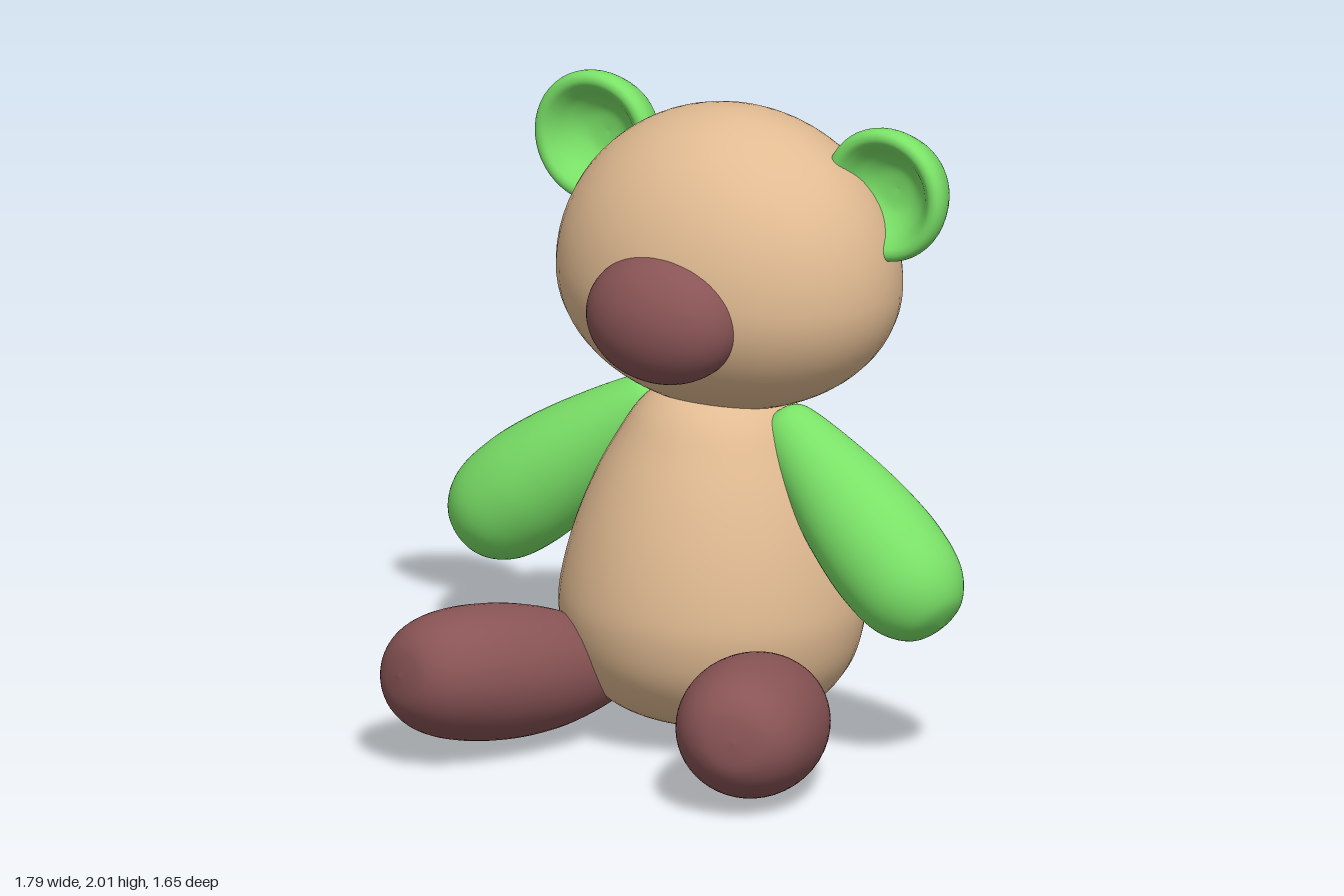
import * as THREE from 'three';

const mat = (name, color) => {
  const m = new THREE.MeshStandardMaterial({ color });
  m.name = name;
  return m;
};

export function createModel() {
  const tan = mat('tan fur', 0xe1bb92);
  const green = mat('green fur', 0x7ae167);
  const brown = mat('brown fur', 0x895455);

  const model = new THREE.Group();
  model.name = 'teddyBear';
  // The whole bear sits turned to its right and leans a little to its left
  const bear = new THREE.Group();
  bear.name = 'sittingBear';
  bear.rotation.order = 'YXZ';
  bear.rotation.set(0, -0.6, -0.038);
  bear.position.set(0.125, 0, -0.29);
  model.add(bear);

  const add = (name, geometry, material, x = 0, y = 0, z = 0) => {
    const mesh = new THREE.Mesh(geometry, material);
    mesh.name = name;
    mesh.position.set(x, y, z);
    bear.add(mesh);
    return mesh;
  };

  // Smooth solid of revolution through [radius, height] points
  const turned = (profile) => {
    const curve = new THREE.SplineCurve(profile.map(([r, h]) => new THREE.Vector2(r, h)));
    const pts = curve.getPoints(56);
    pts.forEach((p) => { p.x = Math.max(p.x, 0); });
    return new THREE.LatheGeometry(pts, 48);
  };

  // Limb turned around the line from root to tip
  const limb = (name, profile, material, root, tip, width) => {
    const a = new THREE.Vector3(...root);
    const dir = new THREE.Vector3(...tip).sub(a);
    const length = dir.length();
    const mesh = add(name, turned(profile.map(([r, t]) => [r, t * length])), material, ...root);
    mesh.quaternion.setFromUnitVectors(new THREE.Vector3(0, 1, 0), dir.normalize());
    mesh.scale.x = width;
  };

  // Pear-shaped body
  add('body', turned([
    [0, 0.045], [0.12, 0.05], [0.25, 0.075], [0.36, 0.14], [0.44, 0.25], [0.472, 0.38],
    [0.465, 0.5], [0.43, 0.65], [0.375, 0.8], [0.31, 0.93], [0.24, 1.04], [0.15, 1.1], [0, 1.12],
  ]), tan);

  // Head, fuller below its middle
  const skull = new THREE.SphereGeometry(1, 48, 36);
  const p = skull.attributes.position;
  for (let i = 0; i < p.count; i++) {
    const y = p.getY(i);
    p.setXYZ(i, p.getX(i) * 0.56, y * (y > 0 ? 0.53 : 0.415), p.getZ(i) * 0.455);
  }
  skull.computeVertexNormals();
  add('head', skull, tan, -0.005, 1.447, -0.045);

  // Muzzle
  add('muzzle', new THREE.SphereGeometry(1, 48, 32), brown, -0.005, 1.395, 0.35)
    .scale.set(0.255, 0.205, 0.18);

  // Cupped ears: outer dome, thick soft rim, hollow front
  const ear = turned([
    [0, -0.215], [0.08, -0.2], [0.15, -0.155], [0.195, -0.08], [0.21, -0.03],
    [0.2, 0], [0.175, 0.004], [0.15, -0.018], [0.115, -0.06], [0.065, -0.095], [0, -0.105],
  ]);
  ear.rotateX(Math.PI / 2);

  const armProfile = [
    [0, 0], [0.065, 0.025], [0.1, 0.1], [0.147, 0.32], [0.176, 0.52],
    [0.185, 0.7], [0.165, 0.86], [0.1, 0.965], [0, 1],
  ];
  const legProfile = [
    [0, 0], [0.05, 0.045], [0.11, 0.14], [0.18, 0.35], [0.21, 0.56],
    [0.205, 0.76], [0.17, 0.9], [0.1, 0.98], [0, 1],
  ];

  for (const [side, s] of [['left', 1], ['right', -1]]) {
    add(side + 'Ear', ear, green, s * 0.518 - 0.008, 1.777, -0.068);
    limb(side + 'Arm', armProfile, green, [s * 0.2, 1.045, -0.01], [s * 0.853, 0.487, 0.065], 1);
    limb(side + 'Leg', legProfile, brown,
      [0.024 + s * 0.265, 0.165, 0.02], [0.024 + s * 0.597, 0.278, 0.913], 1.08);
  }

  return model;
}
